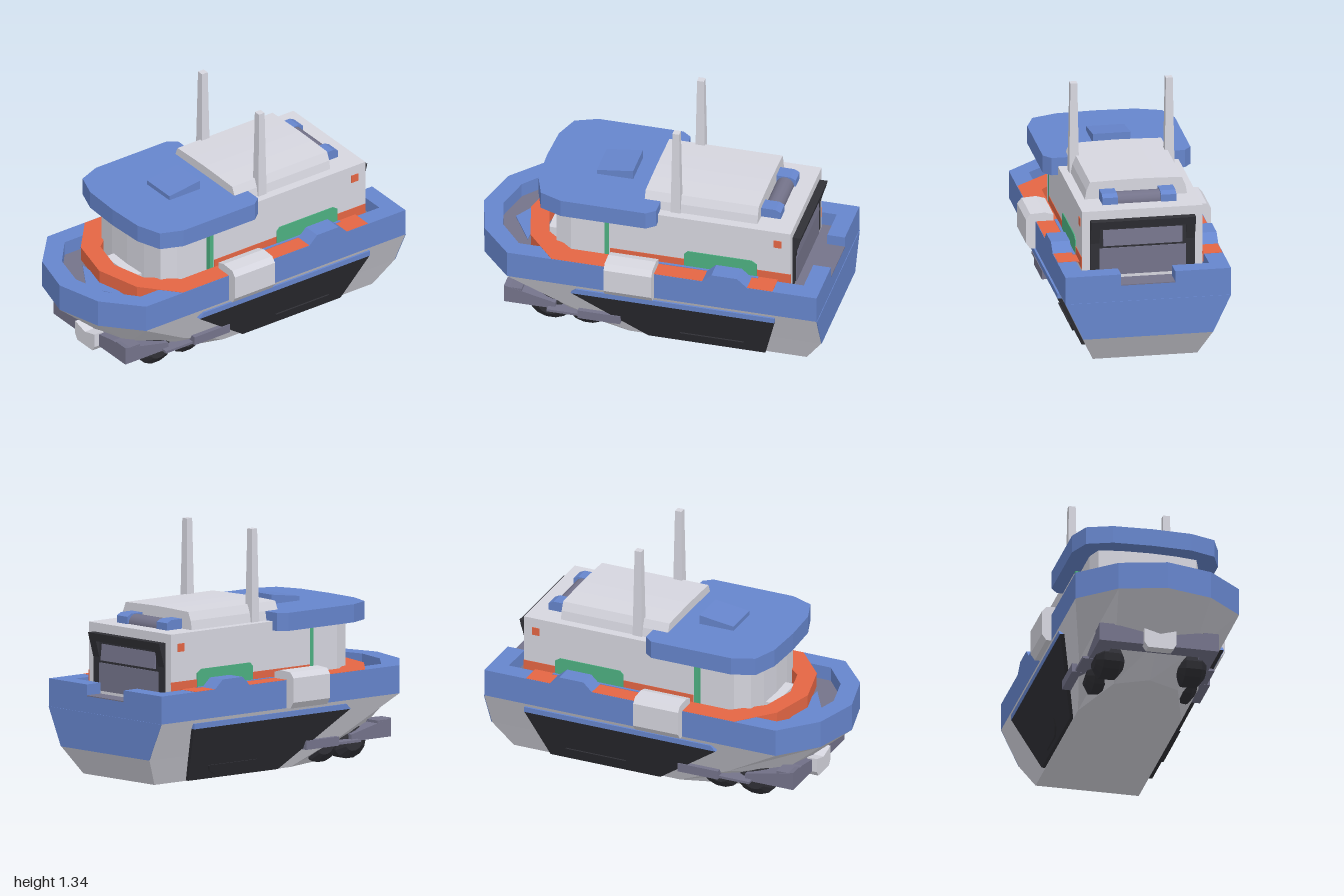
import * as THREE from 'three';

const mat = (name, color) => {
  const m = new THREE.MeshStandardMaterial({ color });
  m.name = name;
  return m;
};

// closed shape from point pairs
const poly = (pts) => new THREE.Shape(pts.map(([a, b]) => new THREE.Vector2(a, b)));
const extrude = (pts, depth) => new THREE.ExtrudeGeometry(poly(pts), { depth, bevelEnabled: false });

// plan outline [x, z] raised from y0 to y1
const prismY = (pts, y0, y1) =>
  extrude(pts.map(([x, z]) => [x, -z]), y1 - y0).rotateX(-Math.PI / 2).translate(0, y0, 0);
// side outline [z, y] swept from x0 to x1
const prismX = (pts, x0, x1) =>
  extrude(pts.map(([z, y]) => [-z, y]), x1 - x0).rotateY(Math.PI / 2).translate(x0, 0, 0);
// front outline [x, y] swept from z0 to z1
const prismZ = (pts, z0, z1) => extrude(pts, z1 - z0).translate(0, 0, z0);
const box = (x0, x1, y0, y1, z0, z1) =>
  new THREE.BoxGeometry(x1 - x0, y1 - y0, z1 - z0).translate((x0 + x1) / 2, (y0 + y1) / 2, (z0 + z1) / 2);

// complete a +x half outline that ends on the centre line
const sym = (half) => [...half, ...half.filter(([x]) => x > 0).reverse().map(([x, y]) => [-x, y])];
// band between two half outlines
const band = (outer, inner) => [...sym(outer), ...sym(inner).reverse()];
// lean a part along the hull side, no wider than the bulwark
const lean = (geo, s) => {
  const p = geo.attributes.position;
  for (let i = 0; i < p.count; i++) {
    p.setX(i, s * Math.min(0.462, Math.abs(p.getX(i)) + 0.48 * p.getY(i)));
  }
  geo.computeVertexNormals();
  return geo;
};

// skin between horizontal rings, listed from bottom to top
function loft(rings) {
  const pos = [], idx = [], n = rings[0].pts.length;
  rings.forEach(({ y, pts }) => pts.forEach(([x, z]) => pos.push(x, y, z)));
  for (let r = 0; r < rings.length - 1; r++) {
    for (let i = 0; i < n; i++) {
      const a = r * n + i, b = r * n + ((i + 1) % n);
      idx.push(a, a + n, b, b, a + n, b + n);
    }
  }
  for (let i = 1; i < n - 1; i++) idx.push(0, i, i + 1);
  const g = new THREE.BufferGeometry();
  g.setAttribute('position', new THREE.Float32BufferAttribute(pos, 3));
  g.setIndex(idx);
  const flat = g.toNonIndexed();
  flat.computeVertexNormals();
  return flat;
}

export function createModel() {
  const model = new THREE.Group();
  model.name = 'patrolBoat';
  const blue = mat('blue', 0x6685cc);
  const light = mat('lightGray', 0xd6d6df);
  const black = mat('black', 0x303036);
  const slate = mat('slate', 0x74738a);
  const red = mat('orangeRed', 0xe46644);
  const green = mat('green', 0x4db081);

  const add = (name, geo, material) => {
    const m = new THREE.Mesh(geo, material);
    m.name = name;
    model.add(m);
    return m;
  };
  // box or side prism repeated on both sides
  const pairX = (name, pts, x0, x1, material) => {
    add(name + 'Left', prismX(pts, x0, x1), material);
    add(name + 'Right', prismX(pts, -x1, -x0), material);
  };
  const pairBox = (name, x0, x1, y0, y1, z0, z1, material) =>
    pairX(name, [[z0, y0], [z1, y0], [z1, y1], [z0, y1]], x0, x1, material);

  // lower hull, narrowing ahead of the skirts
  add('hull', loft([
    { y: 0.003, pts: sym([[0.29, -0.9], [0.29, 0.1], [0.18, 0.48], [0, 0.57]]) },
    { y: 0.155, pts: sym([[0.36, -1], [0.36, 0.42], [0.22, 0.69], [0, 0.755]]) },
    { y: 0.365, pts: sym([[0.46, -1], [0.46, 0.75], [0.26, 0.93], [0, 1]]) },
  ]), light);
  add('transom', prismZ(sym([[0.36, 0.155], [0.46, 0.365], [0, 0.365]]), -1.003, -0.999), blue);

  // blue bulwark with a stern notch, and the deck inside it
  const inner = [[0.15, -0.9], [0.355, -0.9], [0.355, 0.71], [0.2, 0.84], [0, 0.89]];
  add('bulwark', prismY(band(
    [[0.15, -1], [0.46, -1], [0.46, 0.75], [0.26, 0.93], [0, 1]], inner), 0.365, 0.52), blue);
  add('sternSill', box(-0.15, 0.15, 0.365, 0.455, -1, -0.9), blue);
  add('sternStep', box(-0.15, 0.15, 0.455, 0.46, -1, -0.9), slate);
  add('deck', prismY(sym(inner.slice(1)), 0.36, 0.44), slate);
  add('bowPlate', prismY([[-0.2, 0.7], [0, 0.82], [0.2, 0.7]], 0.44, 0.446), blue);
  add('bowHatch', box(-0.13, 0.13, 0.44, 0.5, 0.53, 0.6), light);

  // red walkway and its raised bow wall
  add('walkway', prismY(band(
    [[0.457, -0.75], [0.457, 0.5], [0.26, 0.67], [0, 0.735]],
    [[0.337, -0.75], [0.337, 0.42], [0.2, 0.58], [0, 0.63]]), 0.515, 0.5215), red);
  add('bowWall', prismY(band(
    [[0.355, 0.585], [0.26, 0.668], [0, 0.733]],
    [[0.337, 0.42], [0.2, 0.58], [0, 0.63]]), 0.44, 0.516), red);
  pairX('railHump', [[-0.35, 0.518], [-0.405, 0.57], [-0.55, 0.57], [-0.61, 0.518]], 0.355, 0.46, blue);
  pairBox('innerRail', 0.337, 0.355, 0.5, 0.524, -0.64, -0.07, blue);
  for (const s of [1, -1]) {
    const fender = [[0.36, 0.365], [0.49, 0.365], [0.515, 0.4], [0.515, 0.535], [0.49, 0.565], [0.41, 0.57], [0.36, 0.555]];
    add('fender', prismZ(fender.map(([x, y]) => [s * x, y]), -0.08, 0.19), light);
  }

  // wheelhouse and rear cabin
  add('wheelhouse', prismY(sym([[0.305, 0.15], [0.305, 0.43], [0.275, 0.52], [0.15, 0.54], [0, 0.547]]), 0.44, 0.79), light);
  add('cabin', box(-0.335, 0.335, 0.44, 0.83, -0.82, 0.21), light);
  pairBox('frontPillar', 0.3, 0.336, 0.5, 0.785, 0.205, 0.23, green);
  pairBox('cabinStripe', 0.33, 0.338, 0.5, 0.565, -0.82, 0.2, red);
  pairX('greenPatch', [[-0.22, 0.5], [-0.22, 0.6], [-0.24, 0.62], [-0.6, 0.62], [-0.63, 0.6], [-0.63, 0.5]], 0.332, 0.34, green);
  pairBox('sideLamp', 0.332, 0.339, 0.73, 0.775, -0.77, -0.725, red);

  // rear door with its hooded frame
  add('doorBack', box(-0.29, 0.29, 0.46, 0.78, -0.825, -0.815), black);
  add('doorHood', prismX([[-0.82, 0.78], [-0.866, 0.78], [-0.855, 0.735], [-0.82, 0.735]], -0.29, 0.29), black);
  pairX('doorCheek', [[-0.82, 0.78], [-0.866, 0.78], [-0.828, 0.645], [-0.82, 0.645]], 0.24, 0.29, black);
  add('doorUpper', prismX([[-0.82, 0.72], [-0.828, 0.72], [-0.838, 0.63], [-0.82, 0.63]], -0.22, 0.22), slate);
  add('doorLower', box(-0.24, 0.24, 0.46, 0.615, -0.83, -0.82), slate);

  // blue wheelhouse roof and its air scoop
  add('roof', prismY(sym([[0.37, -0.07], [0.41, -0.02], [0.41, 0.46], [0.36, 0.585], [0.22, 0.635], [0, 0.645]]), 0.78, 0.88), blue);
  add('roofScoop', prismX([[0.335, 0.875], [0.335, 0.905], [0.13, 0.932], [0.13, 0.875]], -0.105, 0.105), blue);

  // rear roof housing and the winch behind it
  add('roofHousing', prismZ(sym([[0.285, 0.825], [0.275, 0.88], [0.255, 0.927], [0.12, 0.931], [0, 0.933]]), -0.62, 0.02), light);
  pairX('winchBracket', [[-0.6, 0.825], [-0.6, 0.885], [-0.7, 0.885], [-0.73, 0.87], [-0.73, 0.825]], 0.12, 0.205, blue);
  add('winchDrum', new THREE.CylinderGeometry(0.05, 0.05, 0.24, 14).rotateZ(Math.PI / 2).translate(0, 0.832, -0.67), slate);

  // tapered masts
  for (const s of [1, -1]) {
    add('mast', new THREE.CylinderGeometry(0.027, 0.039, 0.52, 4).toNonIndexed()
      .rotateY(Math.PI / 4).translate(s * 0.265, 1.085, -0.158), light).geometry.computeVertexNormals();
  }

  // leaning side skirts with blue caps and rear wheel covers
  const skirt = [[0.39, 0.315], [-0.76, 0.315], [-0.67, 0.005], [-0.01, 0.005]];
  const cap = [[0.36, 0.345], [0.39, 0.315], [-0.76, 0.315], [-0.76, 0.345]];
  const cover = [[-0.2, 0.085], [-0.23, 0.05], [-0.3, 0.022], [-0.48, 0.022], [-0.54, 0.05], [-0.56, 0.085]];
  for (const s of [1, -1]) {
    const slab = (pts, x0, x1) => lean(prismX(pts, s > 0 ? x0 : -x1, s > 0 ? x1 : -x0), s);
    add('sideSkirt', slab(skirt, 0.26, 0.308), black);
    add('skirtCap', slab(cap, 0.26, 0.311), blue);
    add('wheelCover', slab(cover, 0.29, 0.318), black);
  }

  // front wheels
  const tyre = [[0, -0.08], [0.05, -0.08], [0.095, -0.045], [0.095, 0.045], [0.05, 0.08], [0, 0.08]]
    .map(([r, y]) => new THREE.Vector2(r, y));
  for (const s of [1, -1]) {
    for (const z of [0.55, 0.34]) {
      const g = new THREE.LatheGeometry(tyre, 14).toNonIndexed();
      g.computeVertexNormals();
      add('frontWheel', g.rotateZ(Math.PI / 2).scale(1, 1, 1.25).translate(s * 0.23, 0.1, z), black);
    }
  }

  // bumper, side arms and front plate
  add('bumperBar', prismZ(sym([[0.335, 0.108], [0.335, 0.205], [0.22, 0.205], [0, 0.165]]), 0.7, 0.8), slate);
  pairX('bumperArm', [[0.8, 0.108], [0.8, 0.212], [0.7, 0.19], [0.51, 0.147], [0.51, 0.108]], 0.25, 0.336, slate);
  pairBox('bumperLink', 0.28, 0.37, 0.106, 0.12, 0.36, 0.55, slate);
  pairBox('bumperPad', 0.3, 0.388, 0.105, 0.155, 0.13, 0.37, slate);
  add('bumperPlate', prismZ(sym([[0.07, 0.08], [0.09, 0.11], [0.09, 0.19], [0, 0.165]]), 0.77, 0.83), light);

  return model;
}
